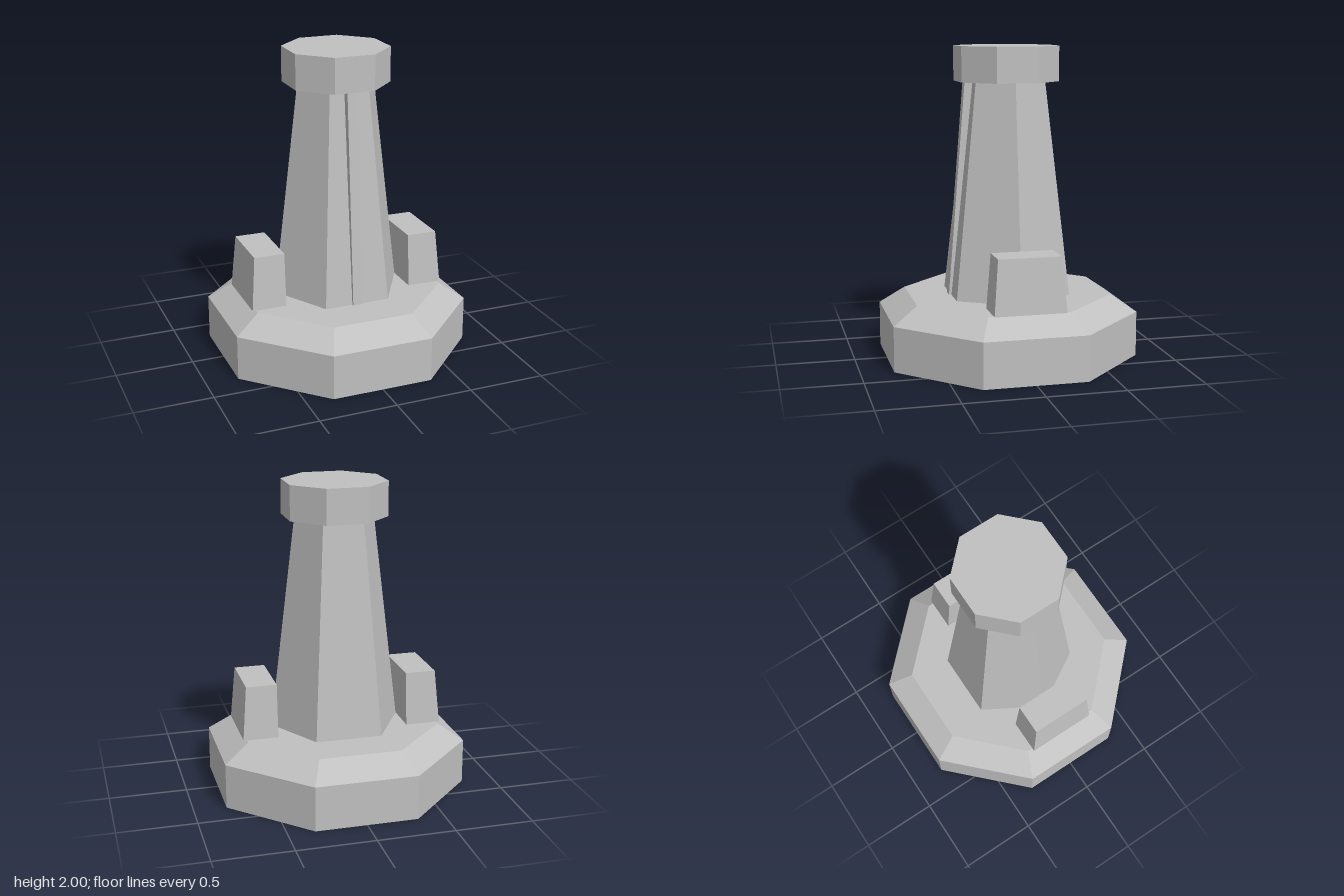
import * as THREE from 'three';

const stone = new THREE.MeshStandardMaterial({ color: 0xc0c0c0, flatShading: true, side: THREE.DoubleSide });
stone.name = 'grey stone';

function addPart(group, name, geometry) {
  const flat = geometry.toNonIndexed();
  flat.computeVertexNormals();
  const mesh = new THREE.Mesh(flat, stone);
  mesh.name = name;
  group.add(mesh);
}

// Octagonal shell, open below; profile is [distance to flat side, height], bottom to top
function octagon(profile) {
  const points = profile.map(([flat, y]) => new THREE.Vector2(flat / Math.cos(Math.PI / 8), y));
  return new THREE.LatheGeometry(points, 8, Math.PI / 8);
}

// Box whose corners are placed by a rule taking the signs (x, y, z) of each corner
function shapedBox(rule) {
  const geometry = new THREE.BoxGeometry(2, 2, 2);
  const p = geometry.attributes.position;
  for (let i = 0; i < p.count; i++) p.setXYZ(i, ...rule(p.getX(i), p.getY(i), p.getZ(i)));
  return geometry;
}

export function createModel() {
  const model = new THREE.Group();
  model.name = 'tower';

  // Hollow base with a sloped shoulder
  addPart(model, 'base', octagon([[0.792, 0], [0.792, 0.29], [0.633, 0.4], [0, 0.4]]));

  // Tapering six-sided shaft with corners to the left and right
  const shaft = new THREE.CylinderGeometry(0.26, 0.428, 1.375, 6, 1, true, Math.PI / 2);
  shaft.translate(0, 0.4 + 1.375 / 2, 0);
  addPart(model, 'shaft', shaft);

  // Hollow cap
  addPart(model, 'cap', octagon([[0.316, 1.775], [0.316, 2], [0, 2]]));

  // Raised rib up the front of the shaft
  addPart(model, 'frontRib', shapedBox((x, y, z) => {
    const front = y > 0 ? 0.276 : 0.387;
    return [x * 0.034, y > 0 ? 1.775 : 0.402, z > 0 ? front : front - 0.07];
  }));

  // Side blocks: upright inner face, other faces leaning in
  for (const side of [1, -1]) {
    addPart(model, side > 0 ? 'leftBlock' : 'rightBlock', shapedBox((x, y, z) => {
      const outer = y > 0 ? 0.627 : 0.655;
      return [x * side > 0 ? side * outer : side * 0.429, y > 0 ? 0.747 : 0.4, z * (y > 0 ? 0.2 : 0.228)];
    }));
  }
  return model;
}
